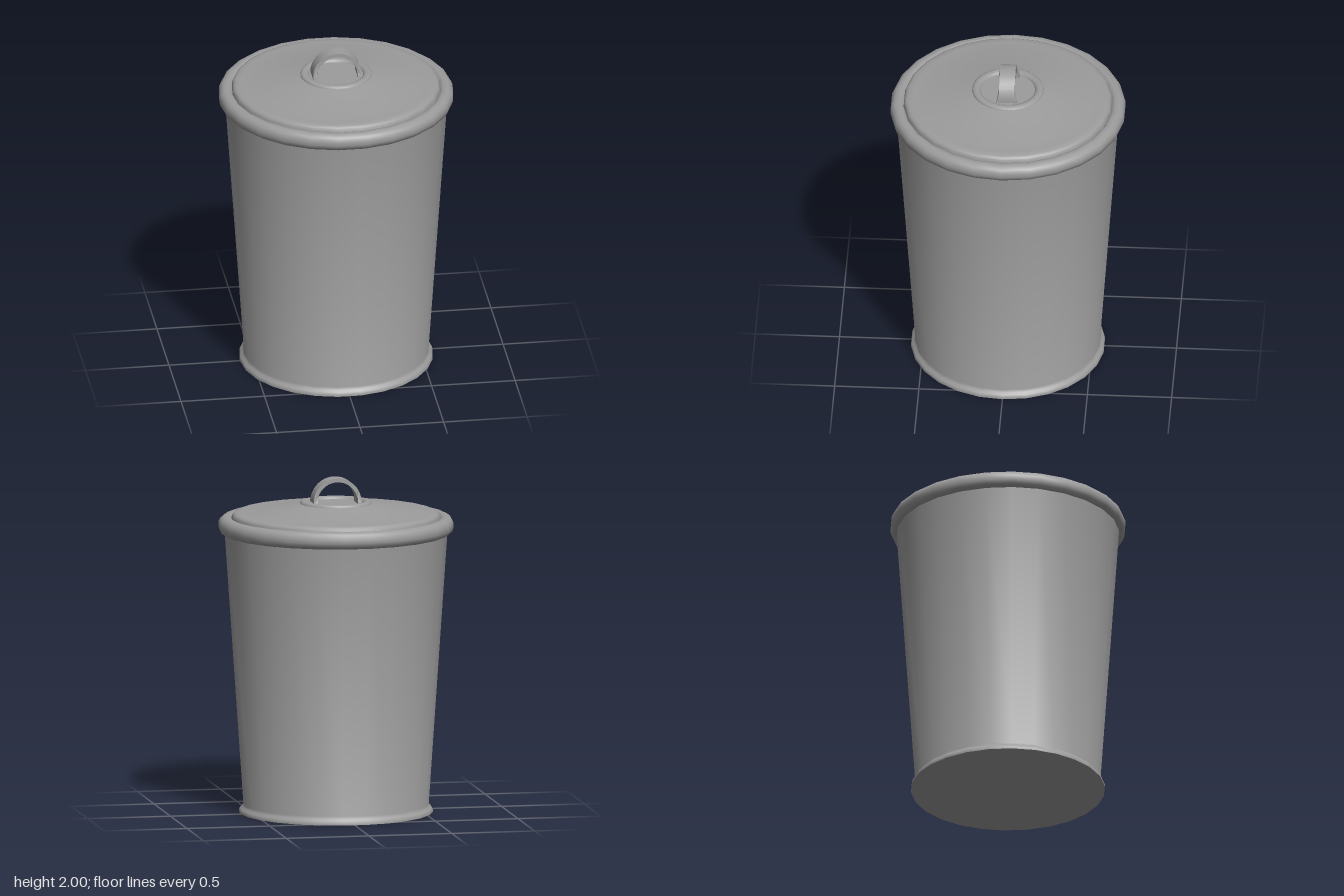
import * as THREE from 'three';
import { toCreasedNormals } from 'three/addons/utils/BufferGeometryUtils.js';

const SIDES = 26;
const material = new THREE.MeshStandardMaterial({ color: 0x9c9c9c, side: THREE.DoubleSide });

function part(name, geometry, crease = 0.75) {
  const mesh = new THREE.Mesh(toCreasedNormals(geometry, crease), material);
  mesh.name = name;
  return mesh;
}

// Turned part from [radius, height] pairs, with a corner on the x axis
function turned(name, profile) {
  const points = profile.map(([r, y]) => new THREE.Vector2(r, y));
  return part(name, new THREE.LatheGeometry(points, SIDES, Math.PI / 2));
}

// Flat band bent into an arch, flaring where it meets the lid
function archHandle() {
  const outer = 0.145, inner = 0.122, foot = 0.015, half = 0.046, base = 1.855;
  const shape = new THREE.Shape();
  shape.moveTo(outer, -foot);
  shape.absarc(0, 0, outer, 0, Math.PI, false);
  shape.lineTo(-outer, -foot);
  shape.lineTo(-inner, -foot);
  shape.absarc(0, 0, inner, Math.PI, 0, true);
  shape.lineTo(inner, -foot);
  const geometry = new THREE.ExtrudeGeometry(shape, {
    depth: 2 * half, bevelEnabled: false, curveSegments: 20,
  });
  geometry.translate(0, 0, -half);
  const pos = geometry.attributes.position;
  for (let i = 0; i < pos.count; i++) {
    const flare = 1 + 0.35 * Math.max(0, 1 - Math.max(0, pos.getY(i)) / 0.07) ** 2;
    pos.setZ(i, pos.getZ(i) * flare);
  }
  geometry.translate(0, base, 0);
  return part('handle', geometry);
}

export function createModel() {
  const group = new THREE.Group();
  group.name = 'bin';

  // Tapered body with a rolled foot
  group.add(turned('body', [
    [0, 0], [0.576, 0], [0.576, 0.012], [0.57, 0.024], [0.557, 0.034], [0.55, 0.05],
    [0.662, 1.69],
  ]));

  // Lid with a rolled rim, a grooved raised cone and a collar around the handle
  group.add(turned('lid', [
    [0, 1.68], [0.645, 1.68], [0.655, 1.67], [0.67, 1.668], [0.69, 1.682], [0.698, 1.705],
    [0.698, 1.73], [0.688, 1.753], [0.668, 1.767], [0.642, 1.768], [0.628, 1.764], [0.62, 1.754],
    [0.617, 1.772], [0.61, 1.784], [0.595, 1.791], [0.56, 1.793], [0.5, 1.795],
    [0.213, 1.847], [0.211, 1.855], [0.203, 1.861], [0.19, 1.863], [0.175, 1.861], [0.165, 1.855],
    [0.161, 1.846], [0, 1.846],
  ]));

  group.add(archHandle());
  return group;
}
